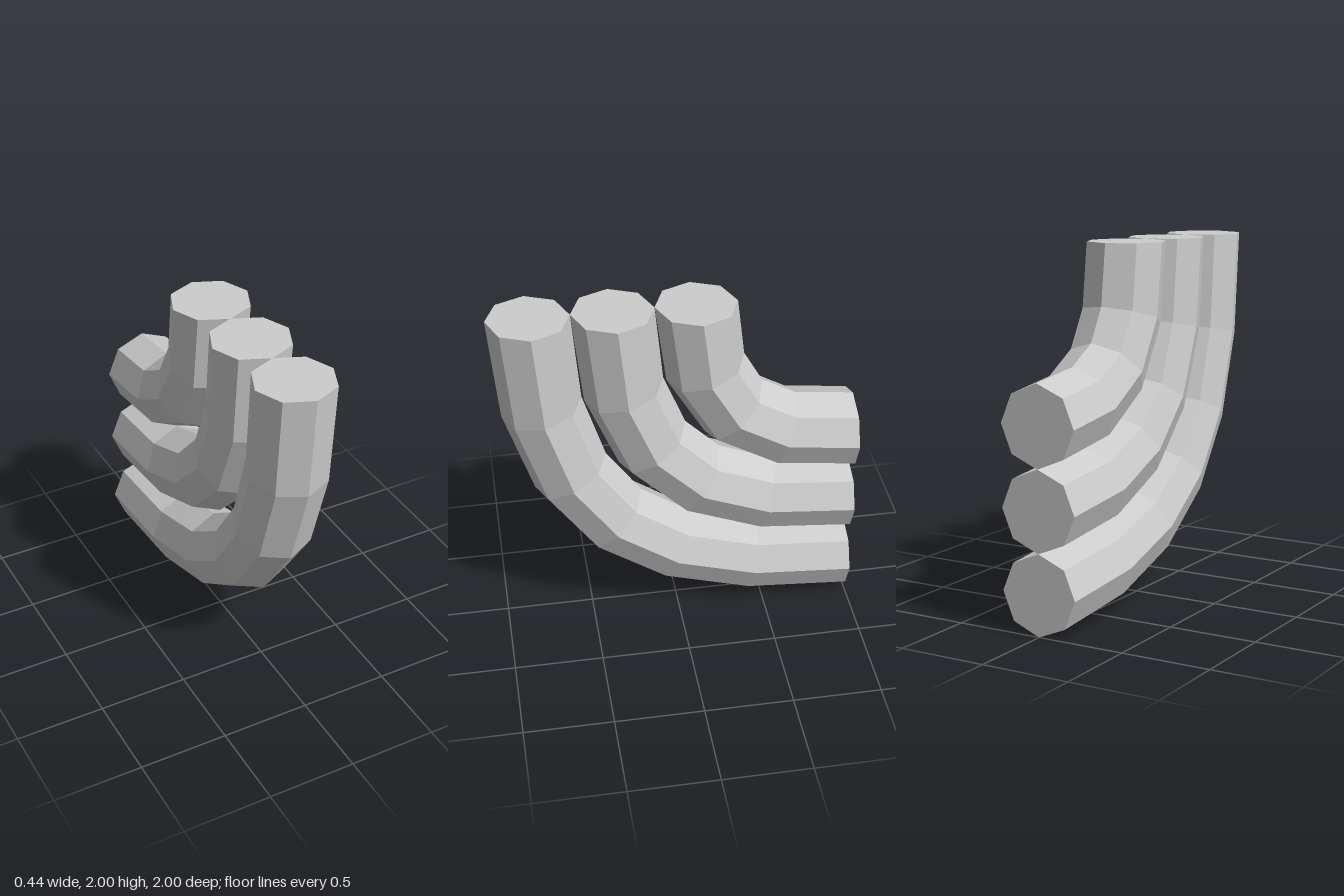
import * as THREE from 'three';

const RADIUS = 2 / 9;
const SIDES = 8;
const HANDLE = 0.7; // length of the curve handles relative to the bend

// Give each facet its own normals
function faceted(geometry) {
  const flat = geometry.toNonIndexed();
  flat.computeVertexNormals();
  return flat;
}

// Quarter bend from the top (y = 2) to the back (z = -1)
function bendCurve(reach) {
  const point = (u, v) => new THREE.Vector3(0, 2 - u * reach, -1 + v * reach);
  const curve = new THREE.CubicBezierCurve3(point(0, 1), point(HANDLE, 1), point(1, HANDLE), point(1, 0));
  // Space the rings by curve parameter rather than by arc length
  curve.getPointAt = (t, target) => curve.getPoint(t, target);
  curve.getTangentAt = (t, target) => curve.getTangent(t, target);
  return curve;
}

function createPipe(name, reach, segments, material) {
  const pipe = new THREE.Group();
  pipe.name = name;

  // Bent octagonal body
  const tube = new THREE.TubeGeometry(bendCurve(reach), segments, RADIUS, SIDES, false);
  const body = new THREE.Mesh(faceted(tube), material);
  body.name = 'pipeBody';

  // Flat end faces
  const cap = new THREE.CircleGeometry(RADIUS, SIDES);
  const topCap = new THREE.Mesh(cap, material);
  topCap.name = 'topCap';
  topCap.rotation.x = -Math.PI / 2;
  topCap.position.set(0, 2, -1 + reach);

  const backCap = new THREE.Mesh(cap, material);
  backCap.name = 'backCap';
  backCap.rotation.y = Math.PI;
  backCap.position.set(0, 2 - reach, -1);

  pipe.add(body, topCap, backCap);
  return pipe;
}

export function createModel() {
  const model = new THREE.Group();
  model.name = 'bentPipes';

  const grey = new THREE.MeshStandardMaterial({ color: 0xcccccc });
  grey.name = 'light grey';

  // Three nested bends, touching at their ends
  ['innerPipe', 'middlePipe', 'outerPipe'].forEach((name, i) => {
    model.add(createPipe(name, (4 + 2 * i) * RADIUS, 4 + i, grey));
  });
  return model;
}
